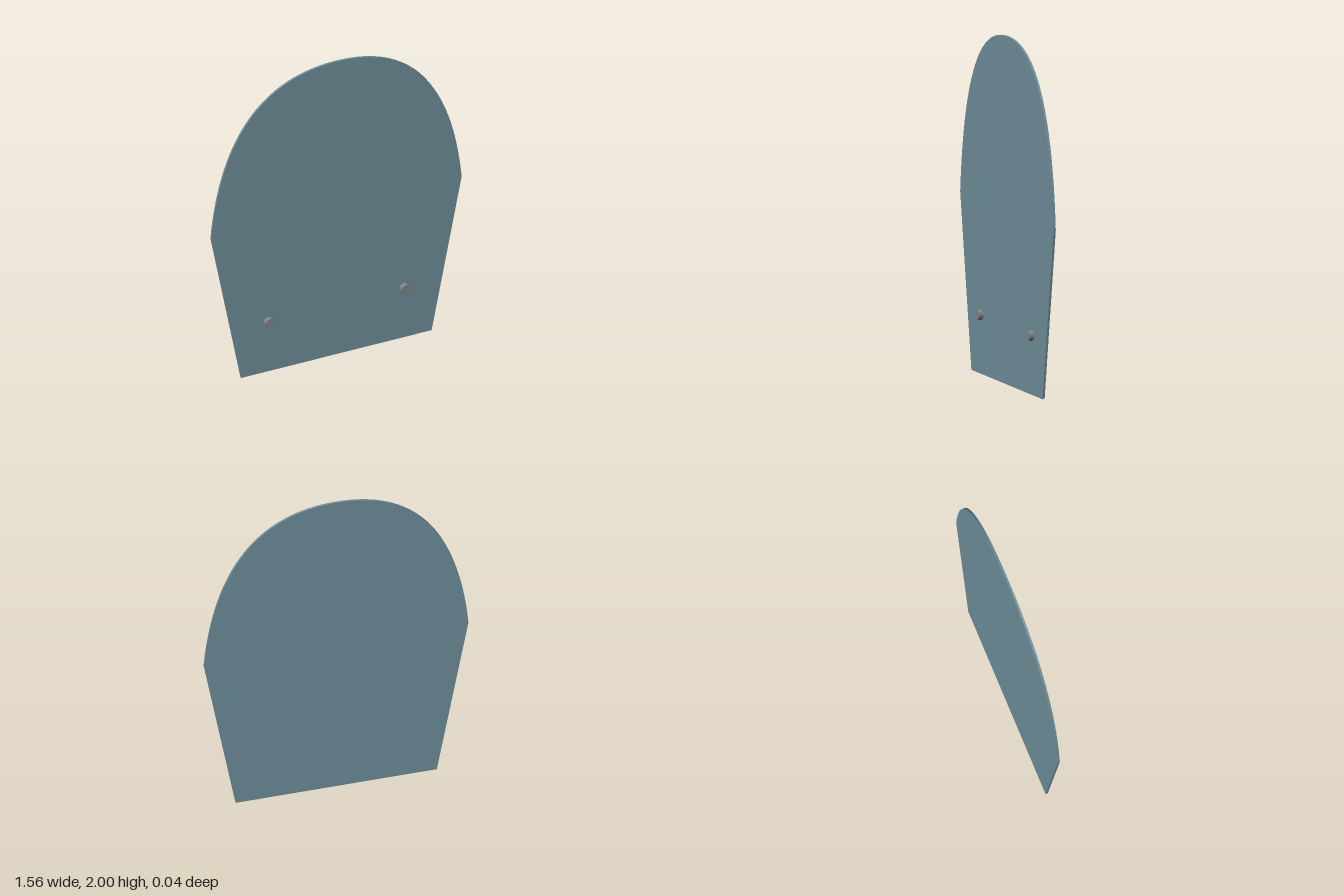
import * as THREE from 'three';

export function createModel() {
  const model = new THREE.Group();
  const plateMat = new THREE.MeshStandardMaterial({ color: 0x6f8f9b });
  const pegMat = new THREE.MeshStandardMaterial({ color: 0x80868a });

  // Thin panel: straight tapering sides below, rounded arch above
  const outline = new THREE.Shape();
  outline.moveTo(-0.593, 0);
  outline.lineTo(0.593, 0);
  outline.lineTo(0.78, 1);
  outline.bezierCurveTo(0.72, 1.67, 0.46, 2, 0, 2);
  outline.bezierCurveTo(-0.46, 2, -0.72, 1.67, -0.78, 1);
  outline.closePath();
  const panel = new THREE.Mesh(
    new THREE.ExtrudeGeometry(outline, { depth: 0.013, bevelEnabled: false, curveSegments: 32 }),
    plateMat
  );
  panel.name = 'panel';
  panel.position.z = -0.02;
  model.add(panel);

  // Two short pegs on the front face
  const pegGeometry = new THREE.CylinderGeometry(0.03, 0.03, 0.027, 16).rotateX(Math.PI / 2);
  for (const side of [1, -1]) {
    const peg = new THREE.Mesh(pegGeometry, pegMat);
    peg.name = side > 0 ? 'leftPeg' : 'rightPeg';
    peg.position.set(side * 0.423, 0.342, 0.0065);
    model.add(peg);
  }
  return model;
}
